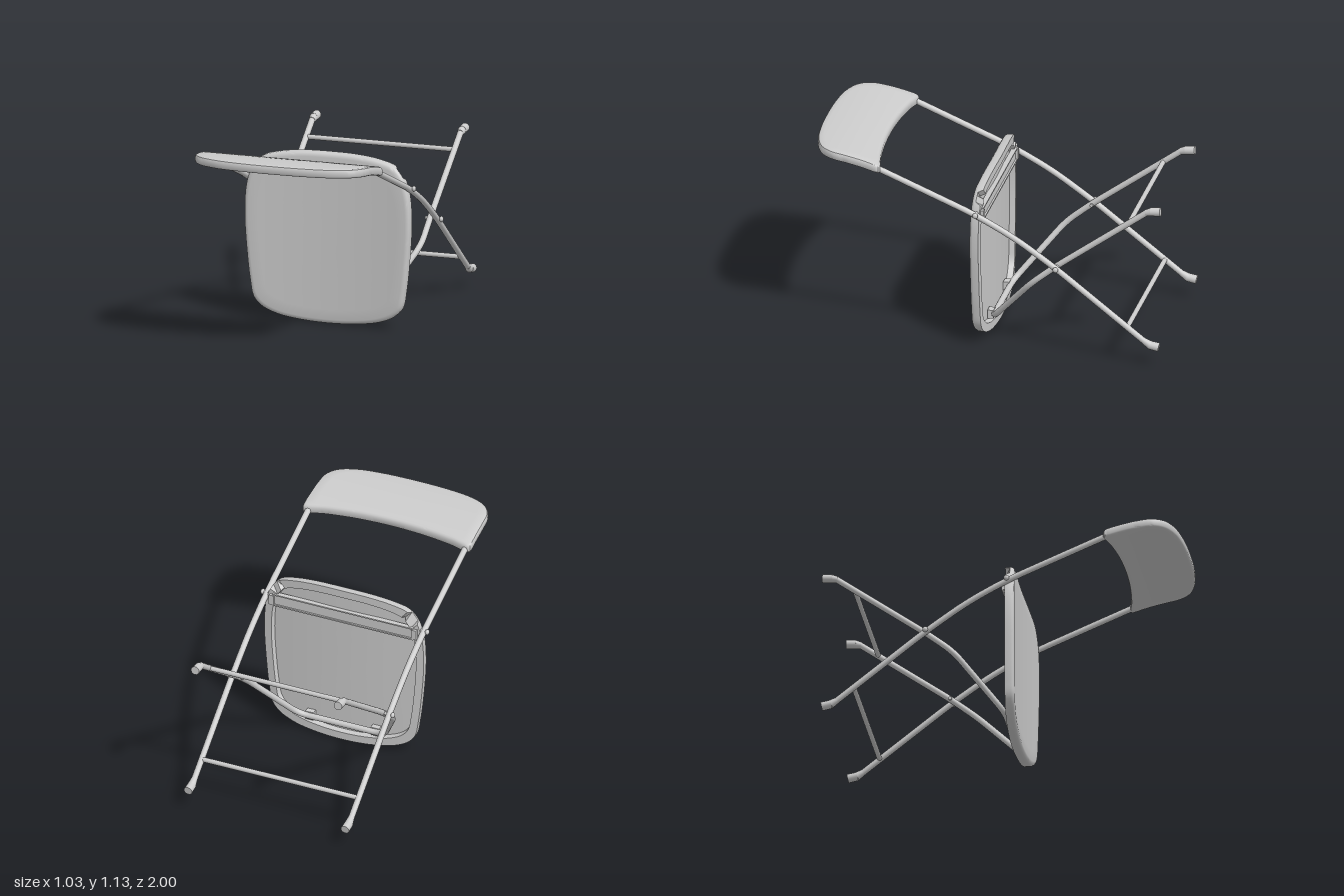
import * as THREE from 'three';
import { toCreasedNormals } from 'three/addons/utils/BufferGeometryUtils.js';

const material = new THREE.MeshStandardMaterial({ color: 0xcccccc });
const V = (x, y, z) => new THREE.Vector3(x, y, z);

function addMesh(parent, name, geometry) {
  const mesh = new THREE.Mesh(geometry, material);
  mesh.name = name;
  parent.add(mesh);
  return mesh;
}

// Closed outline from its right half, listed from bottom centre to top centre
function mirroredOutline(half, count) {
  const left = half.slice(1, -1).reverse().map(([u, v]) => [-u, v]);
  const points = [...half, ...left].map(([u, v]) => V(u, v, 0));
  return new THREE.CatmullRomCurve3(points, true).getSpacedPoints(count).slice(0, count);
}

// Skin of rings, each [scale, inset, height], from the face centre over the edge to the back centre
function ringSkin(outline, rings, centre, half, place) {
  const n = outline.length;
  const at = ([s, d, h], j) => {
    const p = outline[j % n];
    return place((p.x - centre[0]) * s * (1 - d / half[0]) + centre[0],
      (p.y - centre[1]) * s * (1 - d / half[1]) + centre[1], h);
  };
  const out = [];
  for (let i = 0; i < rings.length - 1; i++) {
    for (let j = 0; j < n; j++) {
      const a = at(rings[i], j), b = at(rings[i + 1], j);
      const c = at(rings[i + 1], j + 1), d = at(rings[i], j + 1);
      if (rings[i + 1][0] > 0) out.push(...a, ...b, ...c);
      if (rings[i][0] > 0) out.push(...a, ...c, ...d);
    }
  }
  const geo = new THREE.BufferGeometry();
  geo.setAttribute('position', new THREE.Float32BufferAttribute(out, 3));
  return toCreasedNormals(geo, 0.6);
}

// Bent tube: straight runs joined by rounded corners
function bentTube(points, bend, radius) {
  const path = new THREE.CurvePath();
  let from = points[0];
  for (let i = 1; i < points.length - 1; i++) {
    const p = points[i];
    const toward = (q) => p.clone().add(q.clone().sub(p).setLength(Math.min(bend, p.distanceTo(q) * 0.45)));
    const start = toward(points[i - 1]), end = toward(points[i + 1]);
    path.add(new THREE.LineCurve3(from, start));
    path.add(new THREE.QuadraticBezierCurve3(start, p, end));
    from = end;
  }
  path.add(new THREE.LineCurve3(from, points[points.length - 1]));
  return new THREE.TubeGeometry(path, 140, radius, 14);
}

// Rod between two points, with a radius at each end
function rod(parent, name, a, b, ra, rb = ra) {
  const dir = b.clone().sub(a);
  const mesh = addMesh(parent, name, new THREE.CylinderGeometry(rb, ra, dir.length(), 18));
  mesh.position.copy(a).add(b).multiplyScalar(0.5);
  mesh.quaternion.setFromUnitVectors(V(0, 1, 0), dir.normalize());
}

function box(parent, name, size, pos) {
  addMesh(parent, name, new THREE.BoxGeometry(...size)).position.set(...pos);
}

function rivet(parent, name, side, y, z) {
  rod(parent, name, V(side * 0.41, y, z), V(side * 0.505, y, z), 0.01);
  const head = addMesh(parent, name + 'Head', new THREE.SphereGeometry(0.016, 14, 10));
  head.position.set(side * 0.503, y, z);
  head.scale.x = 0.75;
}

function foot(parent, name, x, y0, y1) {
  rod(parent, name + 'Sleeve', V(x, y0, -0.915), V(x, (y0 + 2 * y1) / 3, -0.95), 0.018, 0.024);
  rod(parent, name, V(x, (y0 + 2 * y1) / 3, -0.945), V(x, y1, -1), 0.024, 0.025);
}

export function createModel() {
  const model = new THREE.Group();
  model.name = 'foldingChair';

  // Seat: dished shell, hollow behind, with a small notch in each upper side of the rim
  const seat = new THREE.Group();
  seat.name = 'seat';
  model.add(seat);
  const seatOutline = mirroredOutline([
    [0, 0.003], [0.17, 0.012], [0.3, 0.035], [0.39, 0.075], [0.435, 0.125], [0.455, 0.22],
    [0.475, 0.4], [0.487, 0.6], [0.48, 0.75], [0.462, 0.83], [0.44, 0.88], [0.39, 0.933],
    [0.3, 0.96], [0.17, 0.976], [0, 0.98]], 180);
  const seatRings = [
    ...[0, 0.2, 0.4, 0.6, 0.75, 0.88].map((s) => [s, 0.025, 0.055]),
    [1, 0.025, 0.055], [1, 0.012, 0.052], [1, 0.004, 0.045], [1, 0, 0.034],
    [1, 0, 0], [1, 0.045, 0], [1, 0.05, 0.034],
    ...[0.8, 0.6, 0.4, 0.2, 0].map((s) => [s, 0.05, 0.034])];
  addMesh(seat, 'seatShell', ringSkin(seatOutline, seatRings, [0, 0.49], [0.487, 0.487], (x, y, h) => {
    const notch = h < 0.03 && Math.abs(x) > 0.36 && y > 0.875 && y < 0.925;
    return [x, y, (notch ? 0.028 : h) + 0.028 * (x / 0.487) ** 2];
  }));

  // Pivot channel across the back of the seat
  box(seat, 'pivotChannel', [0.86, 0.07, 0.022], [0, 0.8, 0.03]);
  for (const y of [0.767, 0.835]) box(seat, 'channelLip', [0.86, 0.008, 0.03], [0, y, 0.024]);

  // Backrest: curved slab with rounded front corners
  const backOutline = mirroredOutline([
    [0, -1], [0.2, -0.993], [0.35, -0.97], [0.45, -0.925], [0.497, -0.86], [0.508, -0.78],
    [0.512, -0.68], [0.513, -0.6], [0.507, -0.587], [0.38, -0.608], [0.2, -0.628], [0, -0.635]], 180);
  const backRings = [
    ...[0, 0.25, 0.5, 0.75, 0.9].map((s) => [s, 0.014, 0.026]),
    [1, 0.014, 0.026], [1, 0.005, 0.022], [1, 0, 0.013], [1, 0, -0.014],
    [1, 0.004, -0.021], [1, 0.012, -0.025],
    ...[0.9, 0.75, 0.5, 0.25, 0].map((s) => [s, 0.012, -0.025])];
  addMesh(model, 'backrest', ringSkin(backOutline, backRings, [0, -0.81], [0.51, 0.2], (u, v, h) => {
    const t = 1 + v;
    return [u, 1.108 + 0.025 * t - 0.425 * t * t + h, -v];
  }));

  // Long side tubes running from the backrest to the front feet
  for (const side of [-1, 1]) {
    const x = side * 0.48;
    addMesh(model, 'backFrameTube', bentTube([
      V(x, 1.075, 0.68), V(x, 1.038, 0.585), V(x, 0.815, 0.045), V(x, 0.695, -0.18),
      V(x, 0.532, -0.415), V(x, 0.135, -0.925)], 0.11, 0.0175));
    foot(model, 'frontFoot', x, 0.143, 0.112);
    foot(model, 'rearFoot', side * 0.437, 0.902, 0.915);
    rivet(model, 'seatPivot', side, 0.818, 0.042);
    rivet(model, 'framePivot', side, 0.534, -0.415);
    box(seat, 'pivotBracket', [0.03, 0.06, 0.05], [side * 0.435, 0.8, 0.03]);
    box(seat, 'tubeClip', [0.05, 0.05, 0.034], [side * 0.2, 0.105, 0.017]);
  }

  // Second frame: one tube bent into a U under the seat
  const arm = (s) => [
    V(s * 0.437, 0.903, -0.92), V(s * 0.437, 0.537, -0.415), V(s * 0.437, 0.415, -0.265),
    V(s * 0.262, 0.108, -0.004)];
  addMesh(model, 'legFrameTube', bentTube([...arm(1), ...arm(-1).reverse()], 0.07, 0.0175));

  // Stretchers between each pair of legs
  rod(model, 'frontStretcher', V(-0.475, 0.218, -0.82), V(0.475, 0.218, -0.82), 0.014);
  rod(model, 'rearStretcher', V(-0.437, 0.83, -0.82), V(0.437, 0.83, -0.82), 0.014);

  return model;
}
